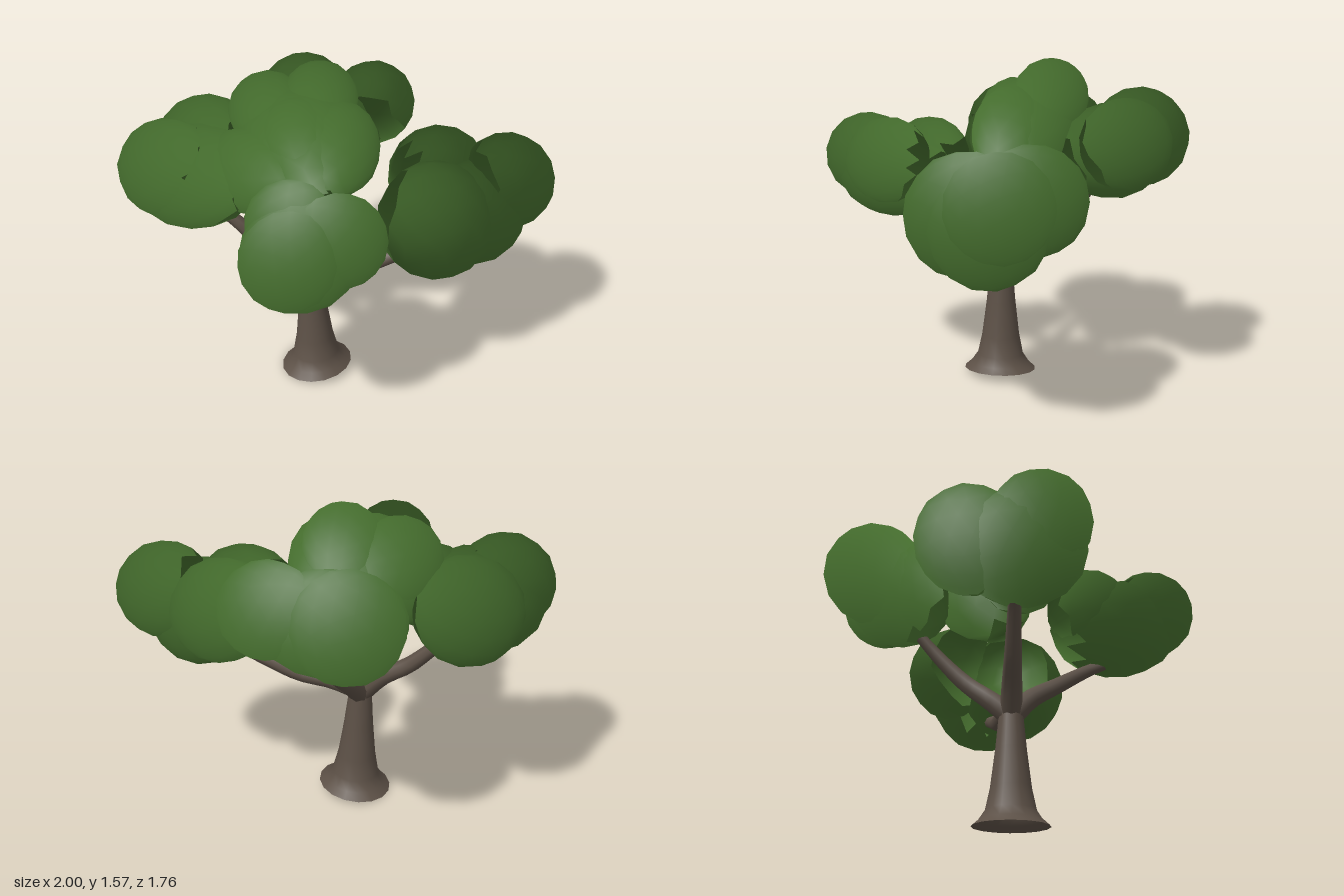
import * as THREE from 'three';
import { mergeGeometries } from 'three/addons/utils/BufferGeometryUtils.js';

const V = (x, y, z) => new THREE.Vector3(x, y, z);
const CROWN_CENTRE = V(-0.08, 0.95, -0.03);

// One leaf ball: [x, y, z, rx, ry, rz] (ry and rz default to rx)
function leafBall([x, y, z, rx, ry = rx, rz = rx], i) {
  return new THREE.IcosahedronGeometry(1, 2)
    .rotateY(i * 1.3 + x * 5).rotateX(i * 0.7)
    .scale(rx, ry, rz).translate(x, y, z);
}

// Leaf balls merged into a cluster; foliage normals fan out from the crown centre
function leafCluster(name, balls, material) {
  const geo = mergeGeometries(balls.map(leafBall));
  const pos = geo.attributes.position, nor = geo.attributes.normal;
  const p = new THREE.Vector3(), n = new THREE.Vector3();
  for (let i = 0; i < pos.count; i++) {
    p.fromBufferAttribute(pos, i).sub(CROWN_CENTRE).normalize();
    n.fromBufferAttribute(nor, i).multiplyScalar(0.2).add(p).normalize();
    nor.setXYZ(i, n.x, n.y, n.z);
  }
  const mesh = new THREE.Mesh(geo, material);
  mesh.name = name;
  return mesh;
}

// Tapered branch: a tube whose rings shrink along the path to a closed tip
function branch(name, points, r0, r1, material) {
  const segs = 12, sides = 8;
  const curve = new THREE.CatmullRomCurve3(points.map((p) => V(...p)));
  const geo = new THREE.TubeGeometry(curve, segs, 1, sides, false);
  const pos = geo.attributes.position, p = new THREE.Vector3();
  for (let i = 0; i <= segs; i++) {
    const c = curve.getPointAt(i / segs);
    const r = i === segs ? 0.001 : THREE.MathUtils.lerp(r0, r1, i / segs);
    for (let j = 0; j <= sides; j++) {
      const k = i * (sides + 1) + j;
      p.fromBufferAttribute(pos, k).sub(c).multiplyScalar(r).add(c);
      pos.setXYZ(k, p.x, p.y, p.z);
    }
  }
  const mesh = new THREE.Mesh(geo, material);
  mesh.name = name;
  return mesh;
}

// Trunk: open-bottomed lathe profile with a slanted foot and a slight lean
function trunk(material) {
  const profile = [[0.178, 0.026], [0.145, 0.055], [0.115, 0.1], [0.094, 0.2], [0.072, 0.38], [0.058, 0.53], [0.05, 0.6], [0, 0.61]];
  const geo = new THREE.LatheGeometry(profile.map(([r, y]) => new THREE.Vector2(r, y)), 16);
  const pos = geo.attributes.position;
  for (let i = 0; i < pos.count; i++) {
    const x = pos.getX(i), y = pos.getY(i);
    const slant = 0.14 * Math.max(0, 1 - y / 0.25);
    pos.setXYZ(i, x - 0.11 - 0.045 * y, Math.max(0, y + x * slant), pos.getZ(i));
  }
  const mesh = new THREE.Mesh(geo, material);
  mesh.name = 'trunk';
  return mesh;
}

export function createModel() {
  const bark = new THREE.MeshStandardMaterial({ color: 0x5c5046, side: THREE.DoubleSide });
  bark.name = 'bark brown';
  const leaves = new THREE.MeshStandardMaterial({ color: 0x446c2d });
  leaves.name = 'leaf green';

  const tree = new THREE.Group();
  tree.name = 'tree';
  tree.add(trunk(bark));

  // Branches
  const branches = {
    leftBranch: [[-0.14, 0.56, 0], [0.0, 0.605, -0.02], [0.16, 0.63, -0.05], [0.33, 0.7, -0.08], [0.42, 0.735, -0.09], [0.52, 0.74, -0.1]],
    rightBranch: [[-0.13, 0.54, 0], [-0.24, 0.65, 0], [-0.37, 0.73, 0], [-0.5, 0.85, 0], [-0.57, 0.9, 0], [-0.66, 0.92, 0]],
    frontBranch: [[-0.135, 0.54, 0], [-0.13, 0.63, 0.09], [-0.12, 0.7, 0.21], [-0.1, 0.79, 0.36], [-0.1, 0.84, 0.48]],
    backBranch: [[-0.135, 0.54, 0], [-0.12, 0.62, -0.09], [-0.09, 0.72, -0.21], [-0.08, 0.88, -0.36], [-0.09, 1.0, -0.46]],
  };
  for (const [name, pts] of Object.entries(branches)) tree.add(branch(name, pts, 0.054, 0.024, bark));

  // Foliage
  const clusters = {
    leftFoliage: [
      [0.46, 0.945, 0.02, 0.275, 0.28, 0.275], [0.62, 0.93, -0.12, 0.26],
      [0.45, 1.02, -0.27, 0.245], [0.77, 1.055, -0.2, 0.23]],
    rightFoliage: [
      [-0.67, 1.1, 0.03, 0.31, 0.24, 0.29], [-0.775, 1.165, 0.1, 0.23],
      [-0.67, 1.14, -0.2, 0.245], [-0.43, 1.14, 0.03, 0.23, 0.2, 0.2]],
    frontFoliage: [
      [-0.09, 1.02, 0.5, 0.265, 0.225, 0.31], [-0.11, 1.09, 0.67, 0.21],
      [0.08, 1.1, 0.5, 0.205], [-0.16, 1.08, 0.37, 0.2]],
    backFoliage: [
      [-0.15, 1.15, -0.53, 0.32, 0.225, 0.26], [-0.265, 1.2, -0.645, 0.24],
      [0.09, 1.22, -0.62, 0.21], [-0.24, 1.14, -0.45, 0.23, 0.2, 0.2]],
    topFoliage: [
      [-0.18, 1.22, -0.14, 0.34, 0.27, 0.26], [-0.12, 1.4, -0.24, 0.18],
      [-0.36, 1.34, -0.2, 0.19], [0.0, 1.23, -0.08, 0.185, 0.23, 0.19], [-0.2, 1.3, -0.06, 0.18]],
  };
  for (const [name, balls] of Object.entries(clusters)) tree.add(leafCluster(name, balls, leaves));

  return tree;
}
